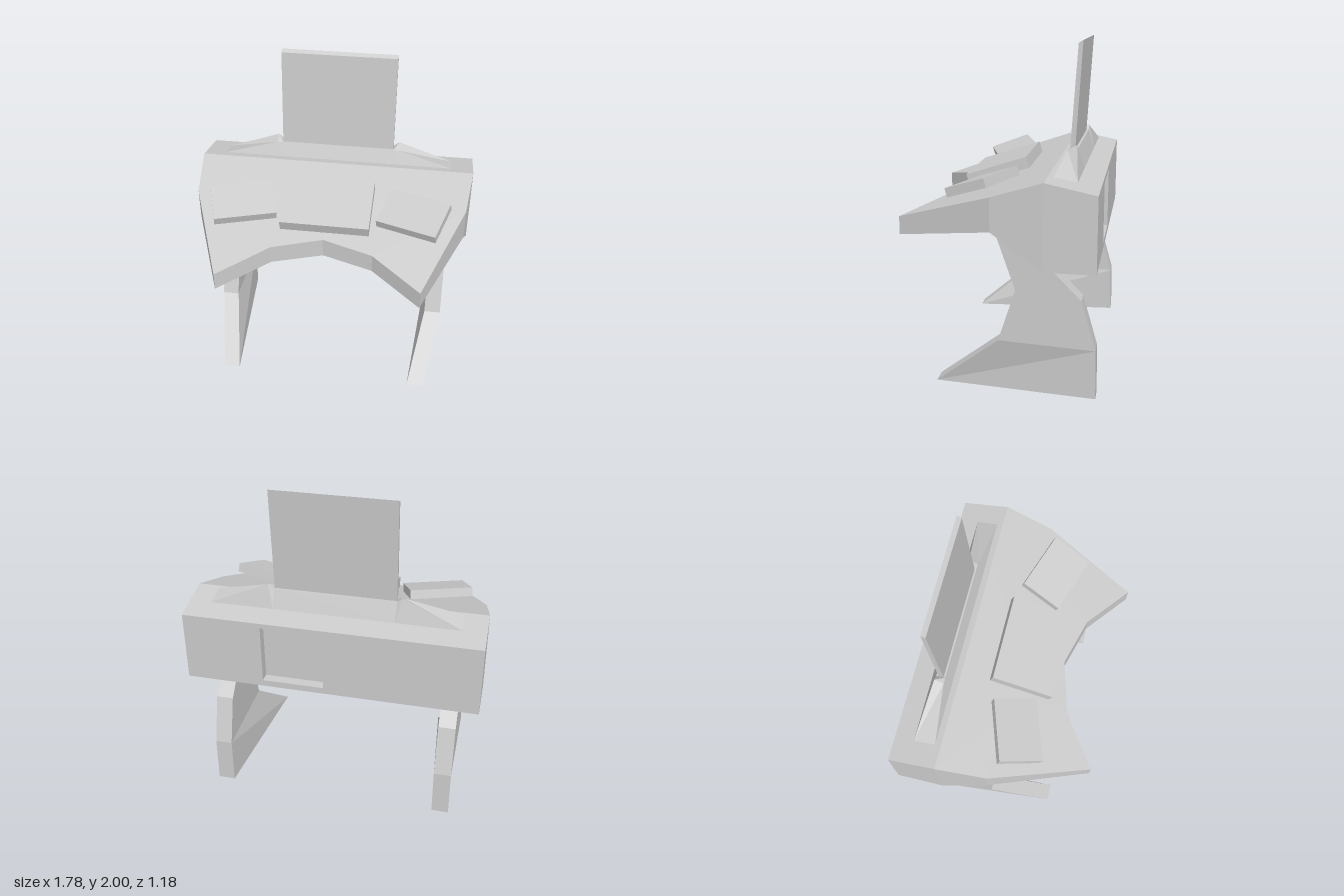
import * as THREE from 'three';

const material = new THREE.MeshStandardMaterial({ color: 0xcccccc, flatShading: true });

// Skins matching rings of [x, y, z] points, caps the ends and faces everything outward.
function loft(rings, capEnd = true) {
  const tris = [];
  const v = (p) => new THREE.Vector3(...p);
  const quad = (a, b, c, d) => {
    if (v(a).distanceTo(v(c)) >= v(b).distanceTo(v(d))) tris.push([a, b, c], [a, c, d]);
    else tris.push([a, b, d], [b, c, d]);
  };
  const n = rings[0].length;
  for (let k = 0; k + 1 < rings.length; k++) {
    for (let j = 0; j < n; j++) {
      const i = (j + 1) % n;
      quad(rings[k][j], rings[k][i], rings[k + 1][i], rings[k + 1][j]);
    }
  }
  const first = rings[0], last = rings[rings.length - 1];
  for (let j = 0; j < n / 2 - 1; j++) {
    quad(first[n - 1 - j], first[n - 2 - j], first[j + 1], first[j]);
    if (capEnd) quad(last[j], last[j + 1], last[n - 2 - j], last[n - 1 - j]);
  }
  let volume = 0;
  for (const [a, b, c] of tris) volume += v(a).dot(v(b).cross(v(c)));
  if (volume < 0) tris.forEach((t) => t.reverse());
  const geometry = new THREE.BufferGeometry();
  geometry.setAttribute('position', new THREE.Float32BufferAttribute(tris.flat(2), 3));
  geometry.computeVertexNormals();
  return geometry;
}

export function createModel() {
  const group = new THREE.Group();
  const add = (name, geometry) => {
    const mesh = new THREE.Mesh(geometry, material);
    mesh.name = name;
    group.add(mesh);
    return mesh;
  };

  // Console body: rows from front to back, each given at outer edge, half way and centre as [x, top, bottom, z]
  const rows = [
    [[0.615, 0.99, 0.88, 0.59], [0.31, 1.063, 0.95, 0.37], [0, 1.088, 0.97, 0.285]],
    [[0.855, 1.186, 0.99, 0], [0.43, 1.186, 0.99, 0], [0, 1.186, 0.99, 0]],
    [[0.89, 1.285, 0.79, -0.3], [0.45, 1.285, 0.79, -0.3], [0, 1.285, 0.79, -0.3]],
    [[0.89, 1.225, 0.79, -0.59], [0.45, 1.225, 0.79, -0.59], [0, 1.225, 0.79, -0.59]],
  ];
  add('consoleBody', loft(rows.map(([outer, mid, centre]) => {
    const m = ([x, ...rest]) => [-x, ...rest];
    const across = [m(outer), m(mid), centre, mid, outer];
    return [
      ...across.map(([x, top, , z]) => [x, top, z]),
      ...across.slice().reverse().map(([x, , bottom, z]) => [x, bottom, z]),
    ];
  }), false));

  // Back wall with a rectangular recess
  const rect = (Type, x0, x1, y0, y1) => new Type([[x0, y0], [x1, y0], [x1, y1], [x0, y1]]
    .map((p) => new THREE.Vector2(...p)));
  const wall = rect(THREE.Shape, -0.89, 0.89, 0.79, 1.225);
  wall.holes.push(rect(THREE.Path, 0.035, 0.41, 0.83, 1.195));
  add('backWall', new THREE.ExtrudeGeometry(wall, { depth: 0.06, bevelEnabled: false }))
    .position.z = -0.59;
  add('recessPanel', new THREE.BoxGeometry(0.4, 0.39, 0.02)).position.set(0.2225, 1.0125, -0.52);

  // Legs: levels as [inner x, outer x, front z, front y, back z, back y], front foot splayed inward
  const levels = [
    [0.655, 0.76, 0.365, 0, -0.59, 0],
    [0.655, 0.76, -0.025, 0.32, -0.585, 0.295],
    [0.655, 0.76, -0.125, 0.63, -0.5, 0.59],
    [0.655, 0.76, 0, 0.99, -0.3, 0.79],
  ];
  for (const s of [1, -1]) {
    add(s > 0 ? 'leftLeg' : 'rightLeg', loft(levels.map(([xi, xo, zf, yf, zb, yb], k) => {
      const splay = k === 0 ? 0.08 : 0;
      return [
        [s * (xi - splay), yf, zf], [s * (xo - splay), yf, zf],
        [s * xo, yb, zb], [s * xi, yb, zb],
      ];
    })));
  }

  // Screen stand: sections along x with front and back top points as [x, front y, front z, back y, back z]
  const half = [
    [0.75, 1.288, -0.335, 1.262, -0.467],
    [0.4, 1.375, -0.37, 1.405, -0.425],
    [0.365, 1.375, -0.37, 1.375, -0.425],
  ];
  const sections = [...half, ...half.slice().reverse().map(([x, ...rest]) => [-x, ...rest])];
  add('screenStand', loft(sections.map(([x, yf, zf, yb, zb]) => [
    [x, 1.288, -0.335], [x, yf, zf], [x, yb, zb], [x, 1.262, -0.467],
  ])));

  // Screen, leaning back slightly
  add('screen', loft([-0.365, 0.365].map((x) => [
    [x, 1.365, -0.38], [x, 1.985, -0.42], [x, 2, -0.447], [x, 1.365, -0.41],
  ])));

  // Control panels resting on the sloping top
  const panel = (name, size, position, yaw) => {
    const mesh = add(name, new THREE.BoxGeometry(...size));
    mesh.position.set(...position);
    mesh.rotation.set(0.318, yaw, 0, 'YXZ');
  };
  panel('centrePanel', [0.55, 0.07, 0.39], [0, 1.208, 0.069], 0);
  for (const s of [1, -1]) {
    panel(s > 0 ? 'leftPanel' : 'rightPanel', [0.387, 0.055, 0.27], [s * 0.535, 1.2, 0.105], s * -0.326);
  }
  return group;
}
